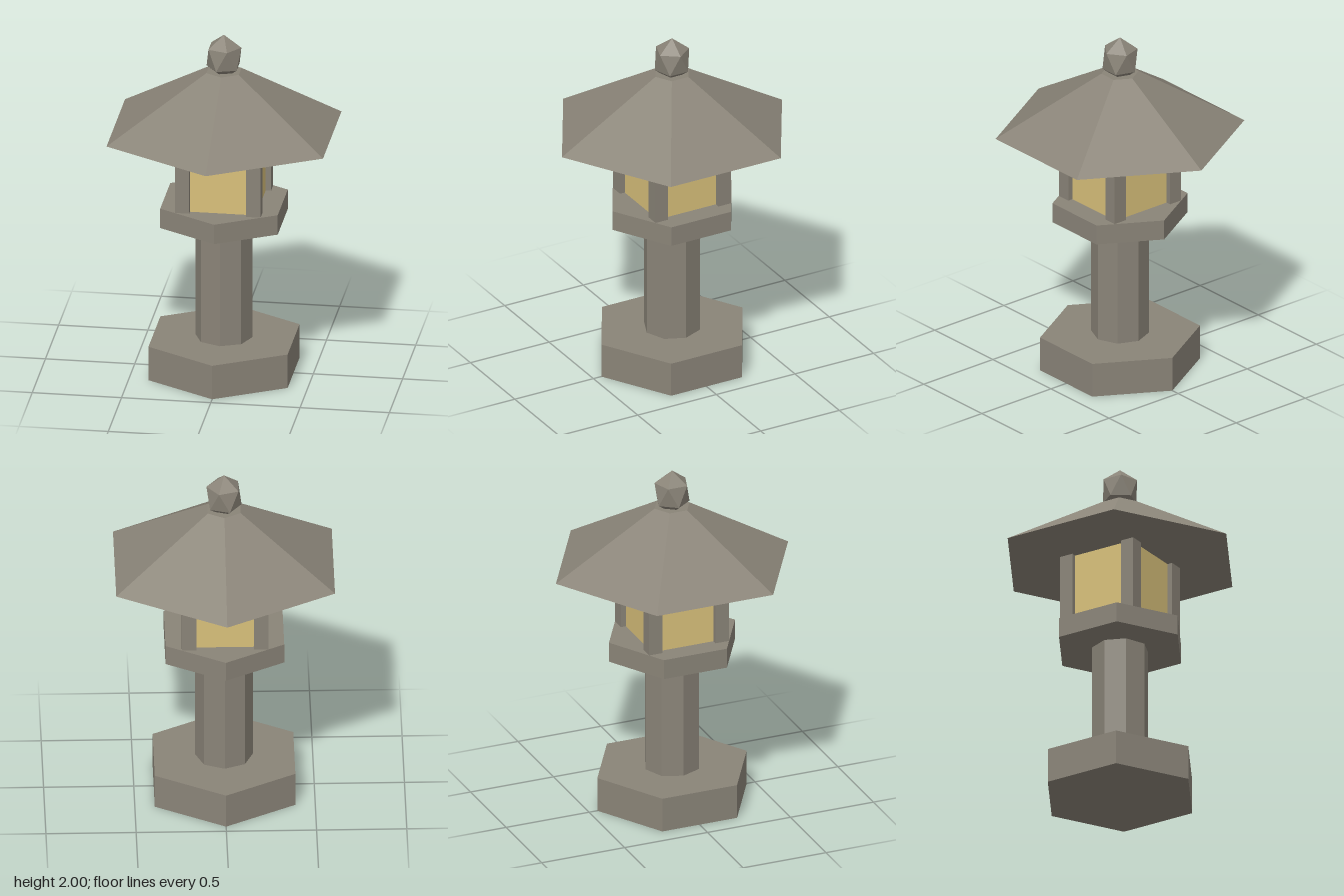
import * as THREE from 'three';

export function createModel() {
  const lantern = new THREE.Group();
  lantern.name = 'stoneLantern';

  const stone = new THREE.MeshStandardMaterial({ color: 0x8a8478, flatShading: true });
  stone.name = 'stone';
  const paper = new THREE.MeshStandardMaterial({ color: 0xd8c07a, flatShading: true });
  paper.name = 'lampPaper';

  const add = (name, geometry, material, x, y, z) => {
    const mesh = new THREE.Mesh(geometry, material);
    mesh.name = name;
    mesh.position.set(x, y, z);
    lantern.add(mesh);
    return mesh;
  };

  // Upright prism or frustum between two heights, with a corner facing +z
  const prism = (name, rBottom, rTop, y0, y1, sides) =>
    add(name, new THREE.CylinderGeometry(rTop, rBottom, y1 - y0, sides), stone, 0, (y0 + y1) / 2, 0);

  const platformTop = 1.016, eaves = 1.436;
  prism('base', 0.45, 0.45, 0, 0.2, 6);
  prism('pillar', 0.16, 0.16, 0.2, 0.9, 8);
  prism('platform', 0.38, 0.38, 0.9, platformTop, 6);
  prism('roof', 0.7, 0.105, eaves, 1.786, 6);

  // Lamp chamber with a square post on each corner
  const lampHeight = eaves - platformTop;
  const lampY = (eaves + platformTop) / 2;
  add('lampChamber', new THREE.BoxGeometry(0.42, lampHeight, 0.42), paper, 0, lampY, 0);
  for (const sx of [-1, 1]) {
    for (const sz of [-1, 1]) {
      add('cornerPost', new THREE.BoxGeometry(0.08, lampHeight, 0.08), stone, sx * 0.2, lampY, sz * 0.2);
    }
  }

  // Finial: icosahedron turned to stand on a point, slightly stretched upward
  const finial = new THREE.IcosahedronGeometry(1, 0);
  finial.rotateZ(-Math.atan(2 / (1 + Math.sqrt(5))));
  finial.scale(0.109, 0.13, 0.109);
  add('finial', finial, stone, 0, 1.87, 0);

  return lantern;
}
